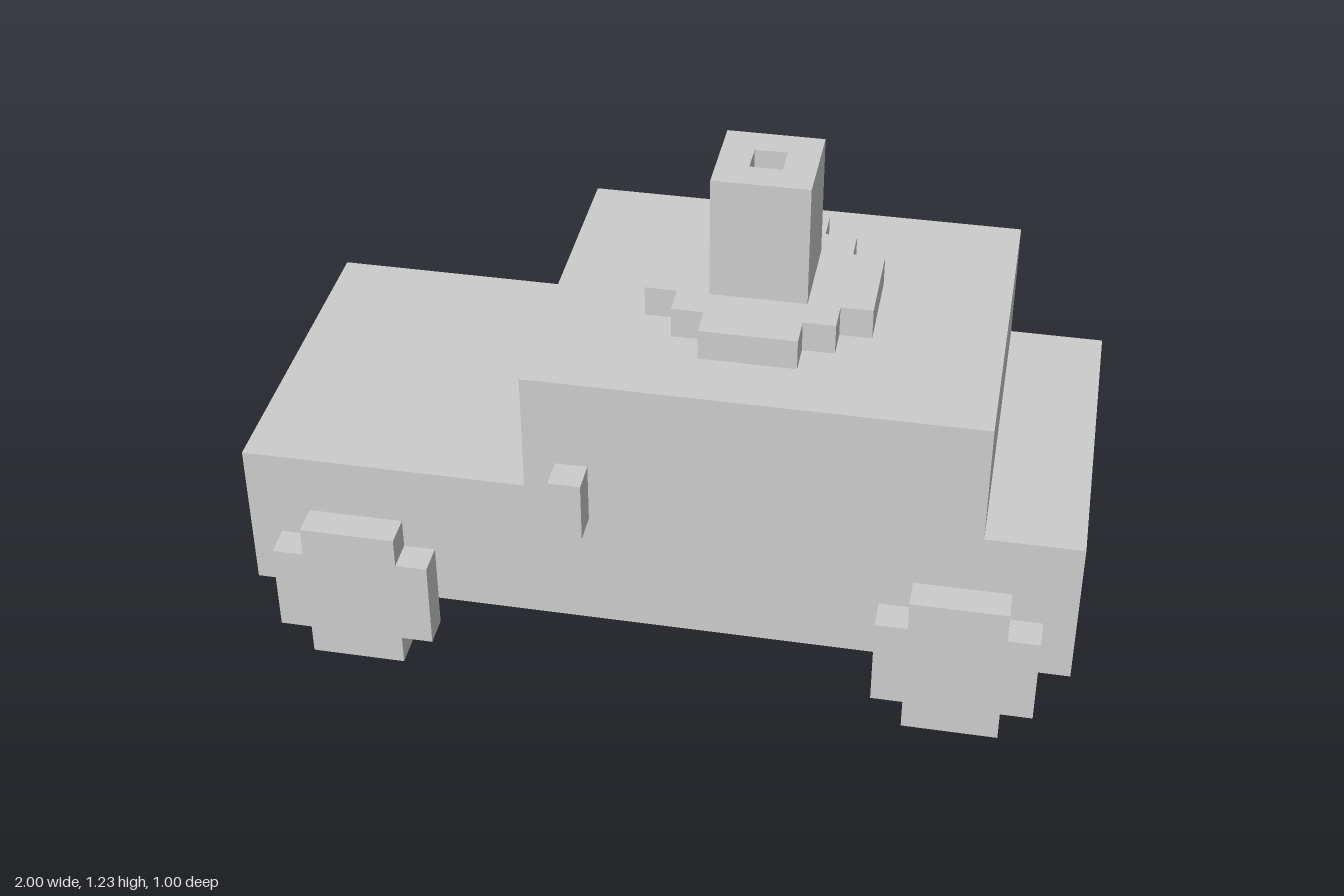
import * as THREE from 'three';

const U = 1 / 13; // one block of the blocky grid
const grey = new THREE.MeshStandardMaterial({ color: 0xcccccc, flatShading: true });

// Closed outline from grid points
const outline = (pts, Type = THREE.Shape) =>
  new Type(pts.map(([x, y]) => new THREE.Vector2(x * U, y * U)));

// Rectangle outline centred on the origin
const square = (h) => [[-h, -h], [h, -h], [h, h], [-h, h]];

// Stepped round outline: one quadrant's staircase turned through four quarters
function steppedDisc(quadrant) {
  const pts = [];
  for (let k = 0, c = 1, s = 0; k < 4; k++, [c, s] = [-s, c]) {
    for (const [x, y] of quadrant) pts.push([x * c - y * s, x * s + y * c]);
  }
  return outline(pts);
}

const extrude = (shape, depth) =>
  new THREE.ExtrudeGeometry(shape, { depth: depth * U, bevelEnabled: false });

export function createModel() {
  const model = new THREE.Group();
  model.name = 'blockyCar';
  const add = (name, geometry, x, y, z) => {
    const mesh = new THREE.Mesh(geometry, grey);
    mesh.name = name;
    mesh.position.set(x * U, y * U, z * U);
    model.add(mesh);
  };

  // Body and raised cabin as one side silhouette
  const side = outline([
    [-13, 2], [13, 2], [13, 7], [10, 7], [10, 11], [-4, 11], [-4, 7], [-13, 7],
  ]);
  add('body', extrude(side, 11), 0, 0, -5.5);

  // Wheels and door handles on both sides
  const wheel = extrude(steppedDisc([[2.5, -1.5], [2.5, 1.5], [1.5, 1.5]]), 1);
  const handle = new THREE.BoxGeometry(U, 2 * U, U);
  for (const [end, z] of [['Front', 5.5], ['Back', -6.5]]) {
    add(`left${end}Wheel`, wheel, 9.5, 2.5, z);
    add(`right${end}Wheel`, wheel, -9.5, 2.5, z);
    add(`handle${end}`, handle, -2.5, 7, z + 0.5);
  }

  // Stepped round plate on the roof
  const plate = extrude(
    steppedDisc([[3.5, -1.5], [3.5, 1.5], [2.5, 1.5], [2.5, 2.5], [1.5, 2.5]]), 1
  ).rotateX(-Math.PI / 2);
  add('roofPlate', plate, 2.5, 11, 0);

  // Hollow square chimney
  const ring = outline(square(1.5));
  ring.holes.push(outline(square(0.5), THREE.Path));
  add('chimney', extrude(ring, 4).rotateX(-Math.PI / 2), 2.5, 12, 0);

  return model;
}
